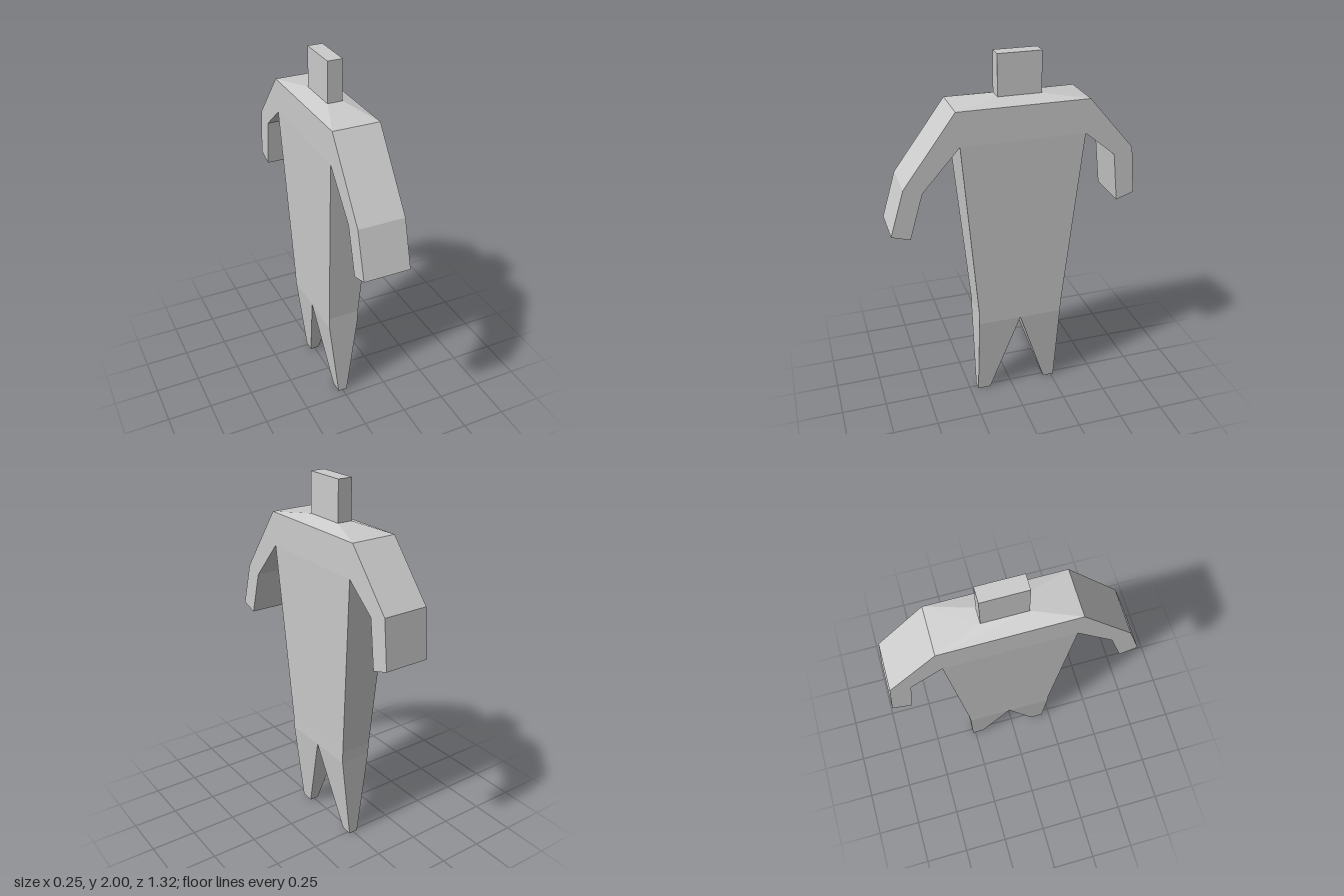
import * as THREE from 'three';

const material = new THREE.MeshStandardMaterial({ color: 0xcccccc, flatShading: true });

// Lofts a solid through flat rectangular sections [z1, y1, z2, y2, halfWidth].
// capStart / capEnd close the ends.
function loft(name, sections, capStart, capEnd) {
  const rings = sections.map(([z1, y1, z2, y2, w]) => [
    [w, y1, z1], [w, y2, z2], [-w, y2, z2], [-w, y1, z1],
  ]);
  const pos = [];
  const quad = (a, b, c, d) => pos.push(...a, ...b, ...c, ...a, ...c, ...d);
  for (let i = 0; i < rings.length - 1; i++) {
    const lo = rings[i], hi = rings[i + 1];
    for (let k = 0; k < 4; k++) {
      const n = (k + 1) % 4;
      quad(lo[k], lo[n], hi[n], hi[k]);
    }
  }
  if (capStart) quad(...[...rings[0]].reverse());
  if (capEnd) quad(...rings[rings.length - 1]);
  const geometry = new THREE.BufferGeometry();
  geometry.setAttribute('position', new THREE.Float32BufferAttribute(pos, 3));
  geometry.computeVertexNormals();
  const mesh = new THREE.Mesh(geometry, material);
  mesh.name = name;
  return mesh;
}

// Horizontal section at height y
const level = (y, zFront, zBack, w) => [zFront, y, zBack, y, w];

export function createModel() {
  const group = new THREE.Group();
  group.name = 'figure';
  group.add(
    // Trunk, with the shoulders sloping up to the neck
    loft('torso', [
      level(0.5, 0.204, -0.273, 0.086),
      level(0.57, 0.204, -0.276, 0.088),
      level(1.58, 0.293, -0.364, 0.124),
      level(1.76, 0.31, -0.383, 0.124),
      level(1.787, 0.077, -0.153, 0.04),
    ], false, false),
    // Plain block head
    loft('head', [
      level(1.787, 0.077, -0.153, 0.04),
      level(2, 0.077, -0.153, 0.04),
    ], false, true),
    // Tapering legs
    loft('frontLeg', [
      level(0, 0.204, 0.13, 0.026),
      level(0.5, 0.204, -0.035, 0.086),
    ], true, false),
    loft('backLeg', [
      level(0, -0.203, -0.266, 0.026),
      level(0.5, -0.035, -0.273, 0.086),
    ], true, false),
    // Bent arms: shoulder, elbow, hand
    loft('frontArm', [
      [0.293, 1.58, 0.31, 1.76, 0.124],
      [0.49, 1.36, 0.585, 1.39, 0.124],
      [0.563, 1.113, 0.66, 1.143, 0.124],
    ], false, true),
    loft('backArm', [
      [-0.383, 1.76, -0.364, 1.58, 0.124],
      [-0.63, 1.473, -0.53, 1.443, 0.124],
      [-0.656, 1.212, -0.56, 1.18, 0.124],
    ], false, true),
  );
  return group;
}
